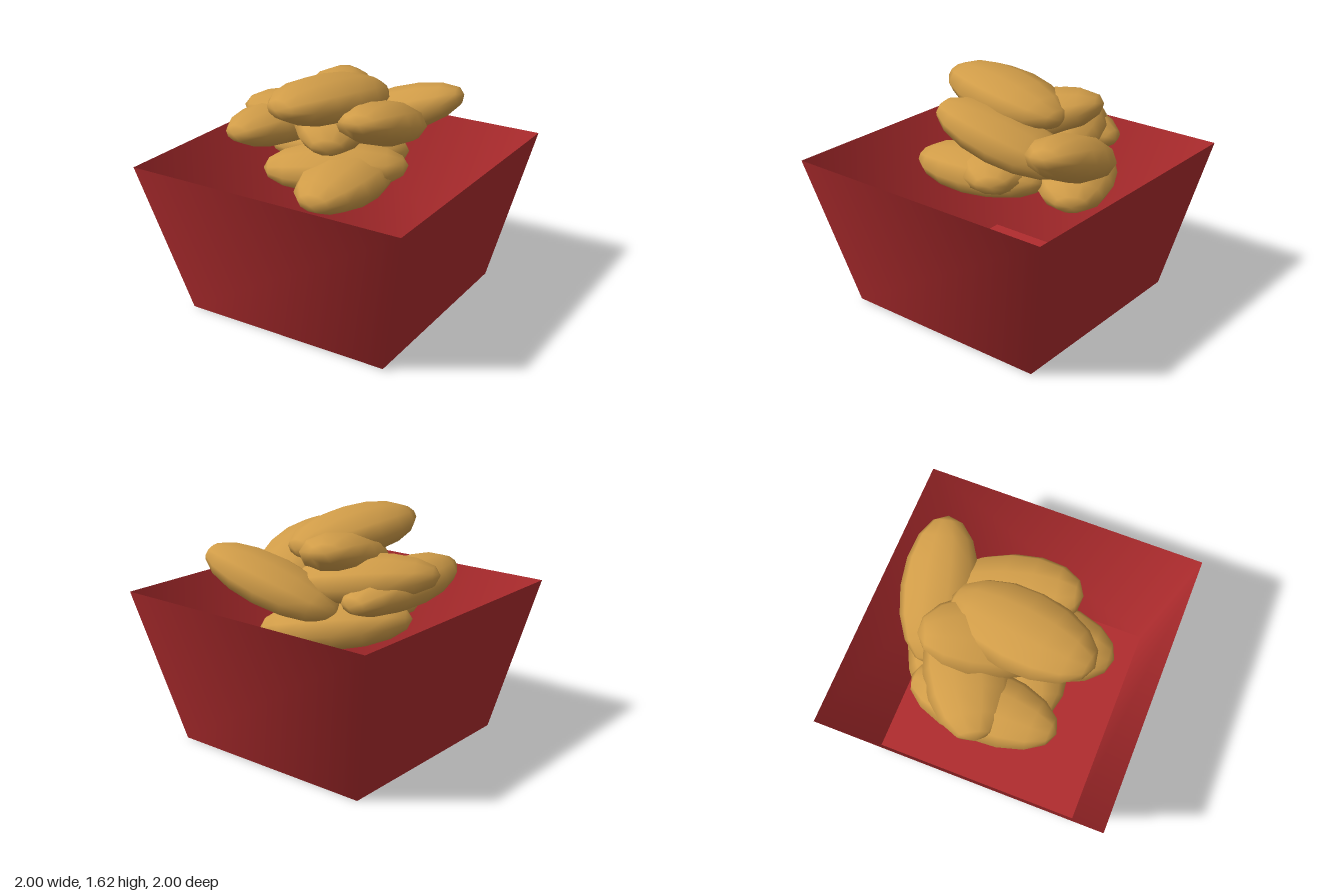
import * as THREE from 'three';

const V = (a) => new THREE.Vector3(...a);

// Flattened oval piece whose long axis runs between two end points
function ovalPiece(name, from, to, material, halfWidth = 0.29, halfThick = 0.16) {
  const a = V(from), b = V(to);
  const dir = b.clone().sub(a);
  const halfLength = dir.length() / 2;
  dir.normalize();
  const side = new THREE.Vector3(0, 1, 0).cross(dir).normalize();
  const up = dir.clone().cross(side);

  const geometry = new THREE.SphereGeometry(1, 10, 8);
  geometry.rotateX(Math.PI / 2); // poles at the two ends
  geometry.scale(halfWidth, halfThick, halfLength);

  const mesh = new THREE.Mesh(geometry, material);
  mesh.name = name;
  mesh.quaternion.setFromRotationMatrix(new THREE.Matrix4().makeBasis(side, up, dir));
  mesh.position.copy(a).add(b).multiplyScalar(0.5);
  return mesh;
}

export function createModel() {
  const model = new THREE.Group();
  model.name = 'boxOfOvalPieces';
  const red = new THREE.MeshStandardMaterial({ color: 0xb02c2e, side: THREE.DoubleSide });
  const gold = new THREE.MeshStandardMaterial({ color: 0xd09c48 });

  // Open box: four flared thin walls, shaded smoothly round the corners
  const height = 1.08, base = 0.76;
  const wallGeometry = new THREE.CylinderGeometry(Math.SQRT2, base * Math.SQRT2, height, 4, 1, true);
  wallGeometry.rotateY(Math.PI / 4);
  const walls = new THREE.Mesh(wallGeometry, red);
  walls.name = 'boxWalls';
  walls.position.y = height / 2;

  const floorGeometry = new THREE.PlaneGeometry(base * 2, base * 2);
  floorGeometry.rotateX(Math.PI / 2); // faces down
  const floor = new THREE.Mesh(floorGeometry, red);
  floor.name = 'boxFloor';
  model.add(walls, floor);

  // Heap of oval pieces: end points of each long axis
  const heap = new THREE.Group();
  heap.name = 'heap';
  const pieces = [
    ['topPiece', [0.03, 1.41, -0.43], [-0.14, 1.51, 0.6]],
    ['leftUpperPiece', [0.12, 1.13, -0.6], [0.32, 1.43, 0.36]],
    ['backLeftPiece', [-0.36, 1.05, -0.46], [0.56, 1.38, -0.68], 0.26],
    ['middlePiece', [-0.31, 1.46, -0.53], [0.1, 1.21, 0.38]],
    ['rightDiagonalPiece', [0.1, 1.18, -0.42], [-0.79, 1.28, 0.05]],
    ['rightFrontPiece', [-0.49, 1.14, -0.52], [-0.55, 1.24, 0.51], 0.25, 0.15],
    ['lowerFrontPiece', [0.09, 0.96, -0.34], [0.16, 0.95, 0.67]],
    ['lowerBackPiece', [0.17, 0.9, -0.62], [-0.67, 1.0, -0.08]],
    ['lowerMiddlePiece', [0.42, 1.0, -0.15], [-0.44, 0.97, 0.33]],
  ];
  for (const [name, from, to, width, thick] of pieces) {
    heap.add(ovalPiece(name, from, to, gold, width, thick));
  }
  model.add(heap);

  return model;
}
